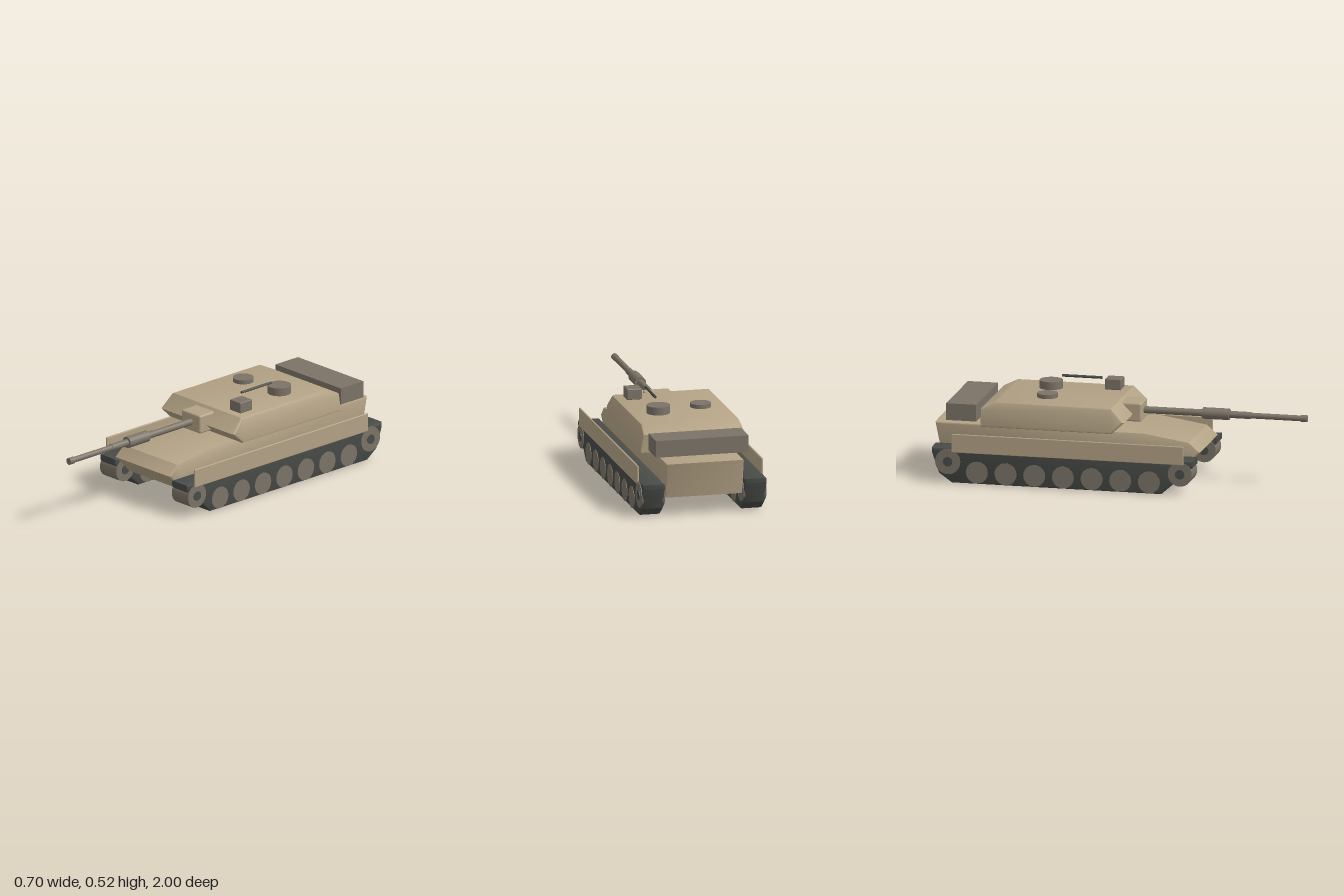
import * as THREE from 'three';
import { toCreasedNormals } from 'three/addons/utils/BufferGeometryUtils.js';
import { RoundedBoxGeometry } from 'three/addons/geometries/RoundedBoxGeometry.js';

const paint = (name, color) => {
  const m = new THREE.MeshStandardMaterial({ color });
  m.name = name;
  return m;
};

export function createModel() {
  const sand = paint('sand armour', 0xb3a285);
  const steel = paint('grey brown steel', 0x7b7367);
  const rubber = paint('dark track', 0x484b47);
  const model = new THREE.Group();
  model.name = 'tank';

  const add = (name, geometry, material, x = 0, y = 0, z = 0, parent = model) => {
    const mesh = new THREE.Mesh(geometry, material);
    mesh.name = name;
    mesh.position.set(x, y, z);
    parent.add(mesh);
    return mesh;
  };

  // Side profile of [z, y] points, extruded across x with bevelled edges
  const slab = (points, width, bevel, widthAt = null) => {
    const shape = new THREE.Shape(points.map(([z, y]) => new THREE.Vector2(z, y)));
    const depth = width - 2 * bevel;
    const g = new THREE.ExtrudeGeometry(shape, {
      depth, bevelEnabled: true, bevelSize: bevel, bevelThickness: bevel,
      bevelOffset: -bevel, bevelSegments: 2,
    });
    g.translate(0, 0, -depth / 2).rotateY(-Math.PI / 2);
    if (widthAt) {
      const p = g.attributes.position;
      for (let i = 0; i < p.count; i++) p.setX(i, p.getX(i) * widthAt(p.getY(i)));
    }
    return toCreasedNormals(g, 0.5);
  };

  // Cylinders along x (wheels) and along z (gun)
  const axle = (r, w, sides = 28) => new THREE.CylinderGeometry(r, r, w, sides).rotateZ(Math.PI / 2);
  const tube = (r, z0, z1, sides = 24) =>
    new THREE.CylinderGeometry(r, r, z1 - z0, sides).rotateX(Math.PI / 2).translate(0, 0, (z0 + z1) / 2);

  // Hull
  add('hull', slab([
    [0.36, 0.107], [0.46, 0.21], [0.40, 0.262], [0.15, 0.3],
    [-0.995, 0.3], [-0.955, 0.107],
  ], 0.426, 0.009), sand);

  // Running gear, mirrored on both sides
  const trackProfile = [
    [0.275, 0], [0.452, 0.158], [0.452, 0.19], [-0.985, 0.19],
    [-0.985, 0.165], [-0.945, 0.05], [-0.875, 0],
  ];
  for (const [side, s] of [['left', 1], ['right', -1]]) {
    const gear = new THREE.Group();
    gear.name = `${side}RunningGear`;
    model.add(gear);
    const x = s * 0.28;
    add('track', slab(trackProfile, 0.122, 0.011), rubber, x, 0, 0, gear);
    for (let i = 0; i < 7; i++) {
      add('roadWheel', axle(0.06, 0.127), steel, x, 0.064, 0.21 - i * 0.1575, gear);
    }
    for (const [name, z, r] of [['idlerWheel', 0.38, 0.066], ['driveWheel', -0.895, 0.069]]) {
      add(name, axle(r, 0.128), steel, x, 0.116, z, gear);
      add('wheelHub', axle(0.026, 0.136, 20), rubber, x, 0.116, z, gear);
    }
    add('sideSkirt', new RoundedBoxGeometry(0.011, 0.102, 1.275, 2, 0.004), sand,
      s * 0.3425, 0.219, -0.2375, gear);
  }

  // Turret, narrowing towards its roof
  const turret = new THREE.Group();
  turret.name = 'turret';
  model.add(turret);
  add('turretShell', slab([
    [-0.01, 0.303], [0.058, 0.366], [-0.015, 0.44],
    [-0.65, 0.44], [-0.73, 0.4], [-0.73, 0.303],
  ], 0.59, 0.012, (y) => 1 - 0.62 * (y - 0.303)), sand, 0, 0, 0, turret);
  add('mantlet', new RoundedBoxGeometry(0.147, 0.102, 0.13, 2, 0.01), sand, 0, 0.376, 0.04, turret);
  add('stowageBox', new THREE.BoxGeometry(0.51, 0.092, 0.165), steel, 0, 0.369, -0.842, turret);

  // Roof fittings
  add('commanderCupola', new THREE.CylinderGeometry(0.063, 0.063, 0.043, 28), steel, 0.12, 0.4615, -0.435, turret);
  add('loaderHatch', new THREE.CylinderGeometry(0.056, 0.056, 0.022, 28), steel, -0.122, 0.46, -0.398, turret);
  add('sightBox', new RoundedBoxGeometry(0.082, 0.06, 0.088, 2, 0.005), steel, 0.177, 0.47, -0.1, turret);
  add('machineGun', tube(0.0075, -0.375, -0.155, 6), rubber, 0.12, 0.51, 0, turret);

  // Main gun
  const gun = new THREE.Group();
  gun.name = 'mainGun';
  gun.position.y = 0.377;
  turret.add(gun);
  for (const [name, r, z0, z1] of [
    ['barrelSleeve', 0.019, 0.09, 0.69], ['barrel', 0.0155, 0.68, 0.97],
    ['boreEvacuator', 0.031, 0.428, 0.573], ['muzzle', 0.0185, 0.965, 1],
  ]) add(name, tube(r, z0, z1), steel, 0, 0, 0, gun);

  return model;
}
